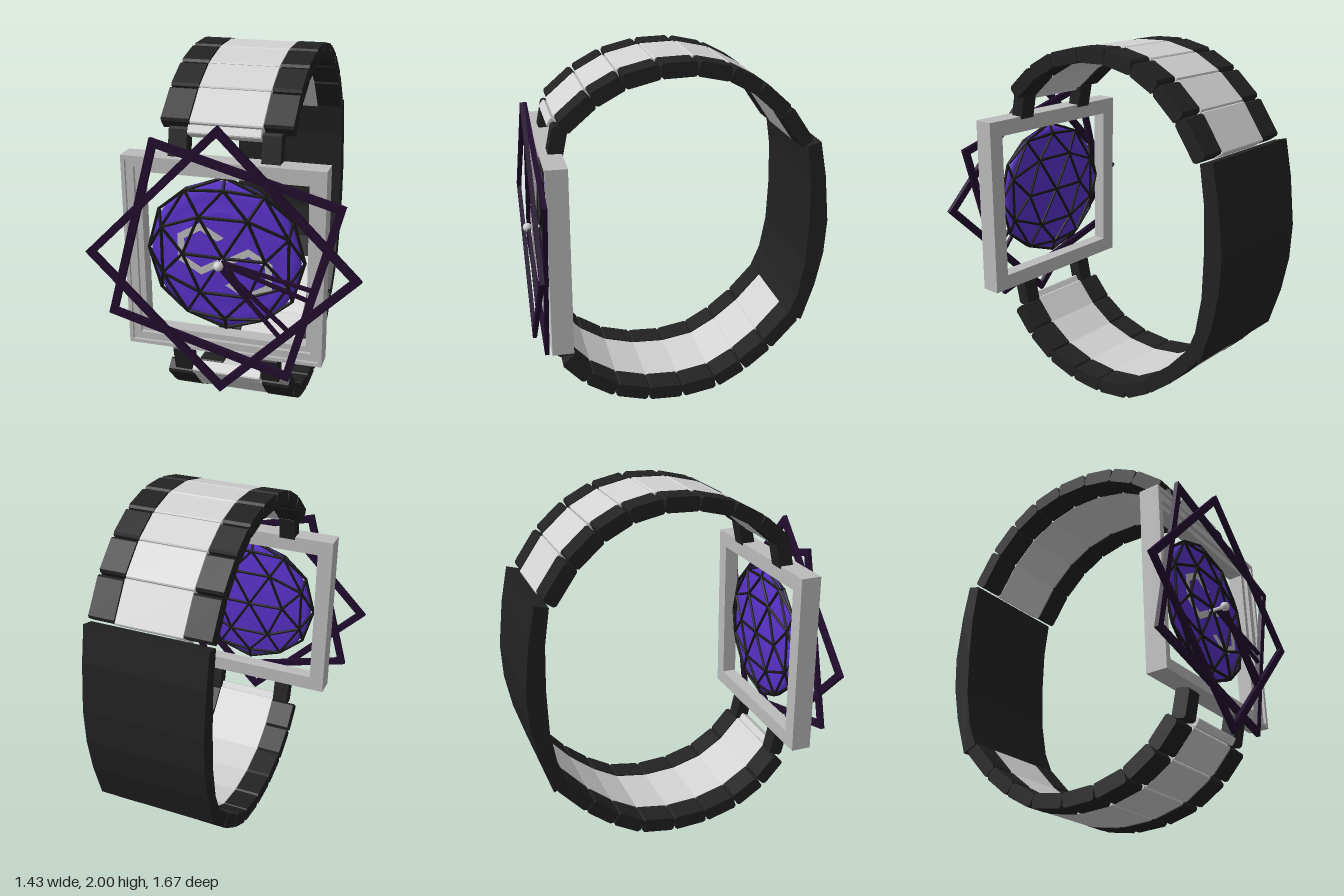
import * as THREE from 'three';

const mat = (name, color, side = THREE.FrontSide) => {
  const m = new THREE.MeshStandardMaterial({ color, side });
  m.name = name;
  return m;
};

export function createModel() {
  const black = mat('black', 0x222222);
  const silver = mat('silver', 0xd2d2d2);
  const frameGrey = mat('frame grey', 0xbcbcbc);
  const violet = mat('violet', 0x5a32cc);
  const plum = mat('dark plum', 0x220c2e);
  const wireBlack = mat('wire black', 0x161616);

  const model = new THREE.Group();
  model.name = 'watch';
  const add = (parent, name, geometry, material) => {
    const mesh = new THREE.Mesh(geometry, material);
    mesh.name = name;
    parent.add(mesh);
    return mesh;
  };

  // Prism along x from a side profile of [z, y] points
  const prism = (points, x0, x1) => {
    const shape = new THREE.Shape(points.map(([z, y]) => new THREE.Vector2(-z, y)));
    return new THREE.ExtrudeGeometry(shape, { depth: x1 - x0, bevelEnabled: false })
      .rotateY(Math.PI / 2).translate(x0, 0, 0);
  };

  // Chamfered link between two joints of the bracelet
  const linkProfile = (a, b, half, inset, chamfer) => {
    const len = Math.hypot(b[0] - a[0], b[1] - a[1]);
    const t = [(b[0] - a[0]) / len, (b[1] - a[1]) / len];
    const at = (u, v) => [a[0] + t[0] * u - t[1] * v, a[1] + t[1] * u + t[0] * v];
    const s = inset, e = len - inset, c = chamfer;
    return [
      at(s + c, -half), at(e - c, -half), at(e, -half + c), at(e, half - c),
      at(e - c, half), at(s + c, half), at(s, half - c), at(s, -half + c),
    ];
  };

  // Bracelet halves, each from the case round to the clasp
  const halves = {
    upper: [[0.67, 1.53], [0.635, 1.69], [0.475, 1.825], [0.315, 1.91], [0.125, 1.955],
      [-0.07, 1.96], [-0.25, 1.92], [-0.41, 1.835], [-0.56, 1.7], [-0.69, 1.51]],
    lower: [[0.705, 0.51], [0.67, 0.35], [0.55, 0.215], [0.39, 0.11], [0.2, 0.055],
      [0, 0.043], [-0.2, 0.075], [-0.36, 0.165], [-0.51, 0.285], [-0.67, 0.46]],
  };
  for (const [half, joints] of Object.entries(halves)) {
    const strap = new THREE.Group();
    strap.name = half + 'Bracelet';
    model.add(strap);
    for (let i = 0; i < joints.length - 1; i++) {
      const [a, b] = [joints[i], joints[i + 1]];
      const outer = linkProfile(a, b, 0.04, 0.003, 0.012);
      const [x0, x1] = i === 0 ? [0.19, 0.285] : [0.19, 0.335];
      add(strap, i ? 'outerLink' : 'lug', prism(outer, x0, x1), black);
      add(strap, i ? 'outerLink' : 'lug', prism(outer, -x1, -x0), black);
      if (i > 0) add(strap, 'centreLink', prism(linkProfile(a, b, 0.037, -0.002, 0.006), -0.185, 0.185), silver);
    }
    // Short end piece of the silver row beside the case
    const [a, b] = joints;
    const near = [b[0] + (a[0] - b[0]) * 0.2 + 0.025, b[1] + (a[1] - b[1]) * 0.2];
    add(strap, 'endLink', prism(linkProfile(near, [b[0] + 0.012, b[1]], 0.033, -0.005, 0.006), -0.185, 0.185), silver);
  }

  // Curved clasp plate at the back
  add(model, 'clasp', prism([
    [-0.69, 1.5], [-0.765, 1.52], [-0.805, 1.32], [-0.835, 1.05], [-0.825, 0.85], [-0.785, 0.65],
    [-0.715, 0.43], [-0.63, 0.465], [-0.685, 0.6], [-0.72, 0.8], [-0.728, 1.05], [-0.72, 1.3],
  ], -0.345, 0.335), black);

  // Case and dial, leaning very slightly
  const face = new THREE.Group();
  face.name = 'face';
  face.position.set(0, 1.025, 0);
  face.rotation.x = -0.014;
  model.add(face);

  const squareRing = (outer, inner, depth) => {
    const square = (Type, h) => {
      const p = new Type();
      p.moveTo(-h, -h).lineTo(h, -h).lineTo(h, h).lineTo(-h, h).closePath();
      return p;
    };
    const shape = square(THREE.Shape, outer);
    shape.holes.push(square(THREE.Path, inner));
    return new THREE.ExtrudeGeometry(shape, { depth, bevelEnabled: false });
  };

  // Stepped square case
  [[0.52, 0.5, 0.115], [0.5, 0.46, 0.1], [0.46, 0.43, 0.08]].forEach(([o, i, depth]) => {
    add(face, 'caseFrame', squareRing(o, i, depth), frameGrey).position.set(0, -0.005, 0.64);
  });

  // Round dial with a stepped front
  const dialProfile = [[0, -0.035], [0.2, -0.03], [0.36, -0.012], [0.395, 0], [0.36, 0.012],
    [0.315, 0.018], [0.31, 0.012], [0.24, 0.02], [0.235, 0.026], [0, 0.03]];
  const dial = new THREE.LatheGeometry(dialProfile.map(([r, h]) => new THREE.Vector2(r, h)), 40)
    .rotateX(Math.PI / 2);
  add(face, 'dial', dial, violet).position.set(0, 0.012, 0.695);

  // Two broken hexagonal inlays on the dial
  const inlay = (x, y, start) => {
    const g = new THREE.RingGeometry(0.1, 0.142, 5, 1, start, Math.PI * 5 / 3);
    add(face, 'dialInlay', g, frameGrey).position.set(x, y, 0.7275);
  };
  inlay(-0.12, 0.045, Math.PI / 6);
  inlay(0.13, -0.07, Math.PI * 7 / 6);

  // Flattened geodesic cage around the dial
  const cage = new THREE.Group();
  cage.name = 'geodesicCage';
  cage.position.set(0, 0.012, 0.695);
  face.add(cage);
  const ball = new THREE.IcosahedronGeometry(0.412, 1).rotateZ(Math.PI / 2).scale(1, 1, 0.115);
  const pos = ball.attributes.position;
  const seen = new Set();
  const key = (v) => v.toArray().map((n) => Math.round(n * 1000) + 0).join();
  for (let i = 0; i < pos.count; i += 3) {
    for (let j = 0; j < 3; j++) {
      const a = new THREE.Vector3().fromBufferAttribute(pos, i + j);
      const b = new THREE.Vector3().fromBufferAttribute(pos, i + (j + 1) % 3);
      const id = [key(a), key(b)].sort().join('|');
      if (seen.has(id)) continue;
      seen.add(id);
      const rod = add(cage, 'cageRod', new THREE.CylinderGeometry(0.008, 0.008, a.distanceTo(b) + 0.006, 6), wireBlack);
      rod.position.addVectors(a, b).multiplyScalar(0.5);
      rod.quaternion.setFromUnitVectors(new THREE.Vector3(0, 1, 0), b.clone().sub(a).normalize());
    }
  }

  // Two turned square hands, each with a pair of spokes from the hub to one edge
  const squareHand = (name, angle, z) => {
    const hand = new THREE.Group();
    hand.name = name;
    hand.position.z = z;
    hand.rotation.z = angle;
    face.add(hand);
    add(hand, 'handFrame', squareRing(0.505, 0.465, 0.024), plum).position.z = -0.012;
    for (const s of [-1, 1]) {
      const spoke = add(hand, 'handSpoke', new THREE.BoxGeometry(0.48, 0.018, 0.018), plum);
      spoke.position.set(0.24, s * 0.017, 0);
      spoke.rotation.z = s * 0.055;
    }
  };
  squareHand('innerHand', -0.266, 0.769);
  squareHand('outerHand', -Math.PI / 4, 0.807);

  // Hub pin
  add(face, 'hub', new THREE.SphereGeometry(0.025, 20, 14), silver).position.z = 0.815;
  add(face, 'hubPin', new THREE.CylinderGeometry(0.01, 0.01, 0.1, 12).rotateX(Math.PI / 2), silver).position.z = 0.765;

  return model;
}
